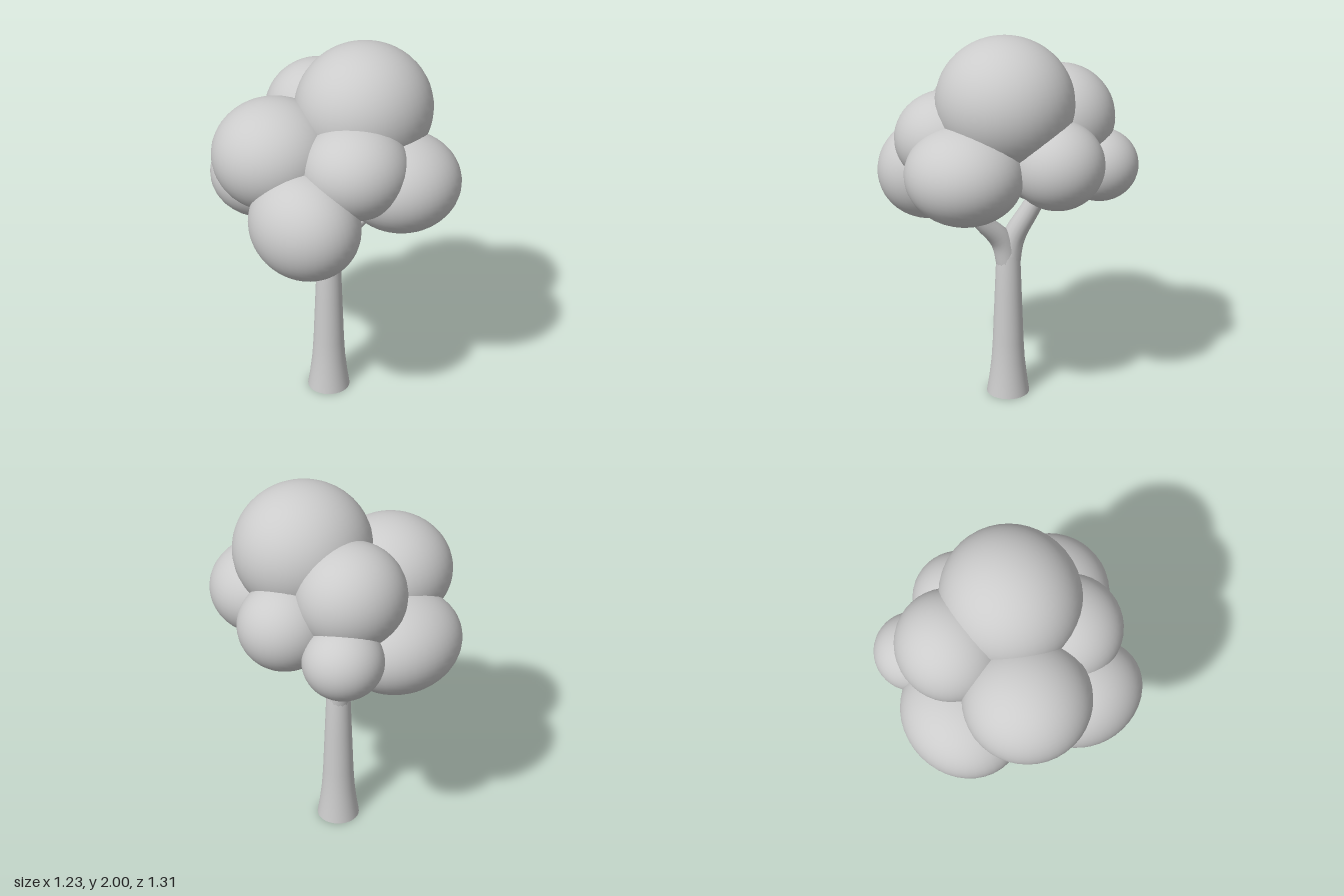
import * as THREE from 'three';

const material = new THREE.MeshStandardMaterial({ color: 0xcccccc });

function addMesh(parent, name, geometry) {
  const mesh = new THREE.Mesh(geometry, material);
  mesh.name = name;
  parent.add(mesh);
  return mesh;
}

// Tapered limb through stations of [x, y, z, radius], closed at the tip
function addBranch(parent, name, stations) {
  const group = new THREE.Group();
  group.name = name;
  parent.add(group);

  const steps = 24, sides = 16;
  const curve = new THREE.CatmullRomCurve3(stations.map(([x, y, z]) => new THREE.Vector3(x, y, z)));
  const geometry = new THREE.TubeGeometry(curve, steps, 1, sides);
  const position = geometry.attributes.position;
  const v = new THREE.Vector3();
  for (let i = 0; i <= steps; i++) {
    const u = i / steps;
    const centre = curve.getPointAt(u);
    const t = curve.getUtoTmapping(u) * (stations.length - 1);
    const k = Math.min(Math.floor(t), stations.length - 2);
    const radius = THREE.MathUtils.lerp(stations[k][3], stations[k + 1][3], t - k);
    for (let j = 0; j <= sides; j++) {
      const index = i * (sides + 1) + j;
      v.fromBufferAttribute(position, index).sub(centre).multiplyScalar(radius).add(centre);
      position.setXYZ(index, v.x, v.y, v.z);
    }
  }
  addMesh(group, name + 'Limb', geometry);

  const tip = curve.getPointAt(1);
  const cap = addMesh(group, name + 'Tip', new THREE.CircleGeometry(stations.at(-1)[3], sides));
  cap.position.copy(tip);
  cap.lookAt(tip.clone().add(curve.getTangentAt(1)));
}

export function createModel() {
  const tree = new THREE.Group();
  tree.name = 'tree';

  // Trunk with flared foot
  const profile = [[0, 0], [0.115, 0], [0.115, 0], [0.103, 0.08], [0.09, 0.19], [0.083, 0.3], [0.073, 0.55], [0.063, 0.8], [0.05, 0.86], [0, 0.88]];
  const trunk = addMesh(tree, 'trunk',
    new THREE.LatheGeometry(profile.map(([r, y]) => new THREE.Vector2(r, y)), 32));
  trunk.position.set(0.003, 0, -0.02);

  // Forked limbs
  addBranch(tree, 'backBranch', [
    [0.003, 0.74, -0.02, 0.062], [0.015, 0.89, -0.045, 0.06],
    [0.07, 1.05, -0.11, 0.051], [0.14, 1.26, -0.2, 0.045]]);
  addBranch(tree, 'frontBranch', [
    [0.003, 0.74, -0.02, 0.062], [-0.008, 0.88, 0.015, 0.06],
    [-0.03, 1.0, 0.12, 0.047], [-0.06, 1.12, 0.21, 0.042], [-0.09, 1.3, 0.29, 0.036]]);
  addBranch(tree, 'sideTwig', [
    [-0.03, 1.0, 0.12, 0.034], [0.03, 1.08, 0.165, 0.033], [0.11, 1.15, 0.19, 0.031]]);

  // Foliage: centre, then radii
  const foliage = {
    crownFoliage: [0.13, 1.67, 0.1, 0.352, 0.33, 0.34],
    upperRightFoliage: [-0.28, 1.48, -0.105, 0.315, 0.28, 0.315],
    upperFrontFoliage: [-0.1, 1.47, 0.28, 0.27, 0.24, 0.27],
    lowerRightFoliage: [-0.36, 1.23, 0.2, 0.255, 0.27, 0.3],
    lowerFrontFoliage: [0.145, 1.355, 0.36, 0.3, 0.247, 0.292],
    leftFoliage: [0.375, 1.387, -0.035, 0.235, 0.223, 0.235],
    smallBackFoliage: [0.305, 1.305, -0.37, 0.2, 0.187, 0.2],
    upperBackFoliage: [0.14, 1.545, -0.25, 0.28, 0.268, 0.27],
    lowerBackFoliage: [-0.09, 1.245, -0.36, 0.335, 0.25, 0.293],
  };
  const sphere = new THREE.SphereGeometry(1, 40, 28);
  for (const [name, [x, y, z, rx, ry, rz]] of Object.entries(foliage)) {
    const puff = addMesh(tree, name, sphere);
    puff.position.set(x, y, z);
    puff.scale.set(rx, ry, rz);
  }
  return tree;
}
